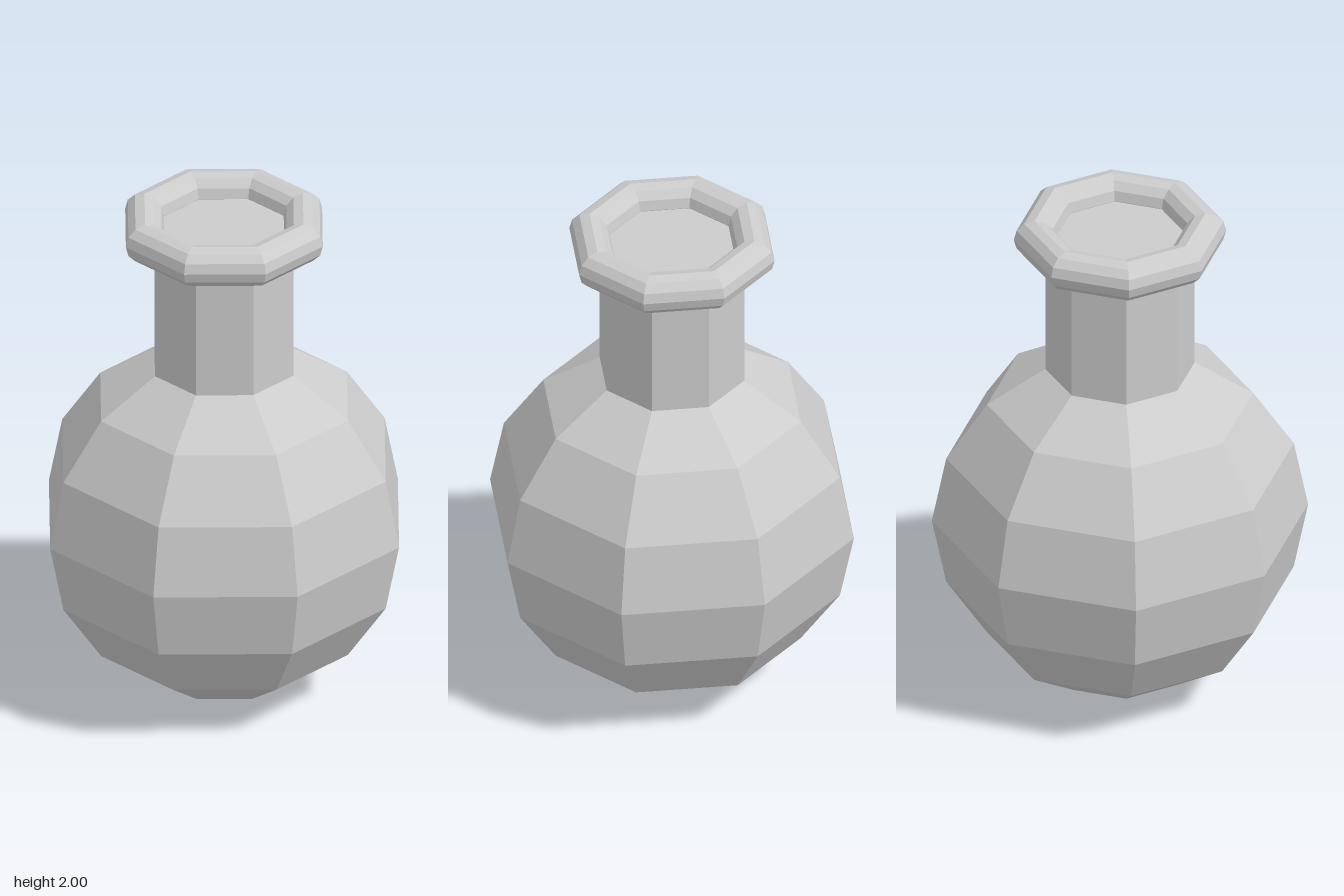
import * as THREE from 'three';

const SIDES = 8;
const RADIUS = 0.705;

export function createModel() {
  const group = new THREE.Group();
  group.name = 'flask';
  const glass = new THREE.MeshStandardMaterial({ color: 0xcccccc, flatShading: true });

  const add = (name, geometry, y) => {
    const mesh = new THREE.Mesh(geometry, glass);
    mesh.name = name;
    mesh.position.y = y;
    group.add(mesh);
  };

  // Round body resting on its lowest point
  add('body', new THREE.SphereGeometry(RADIUS, SIDES, SIDES), RADIUS);

  // Straight neck, sunk into the body and closed inside the rim
  const neckBottom = 1.2, neckTop = 1.92;
  add('neck', new THREE.CylinderGeometry(0.28, 0.28, neckTop - neckBottom, SIDES), (neckBottom + neckTop) / 2);

  // Thick rounded rim
  add('rim', new THREE.TorusGeometry(0.32, 0.078, 12, SIDES).rotateX(Math.PI / 2), 1.922);

  return group;
}
